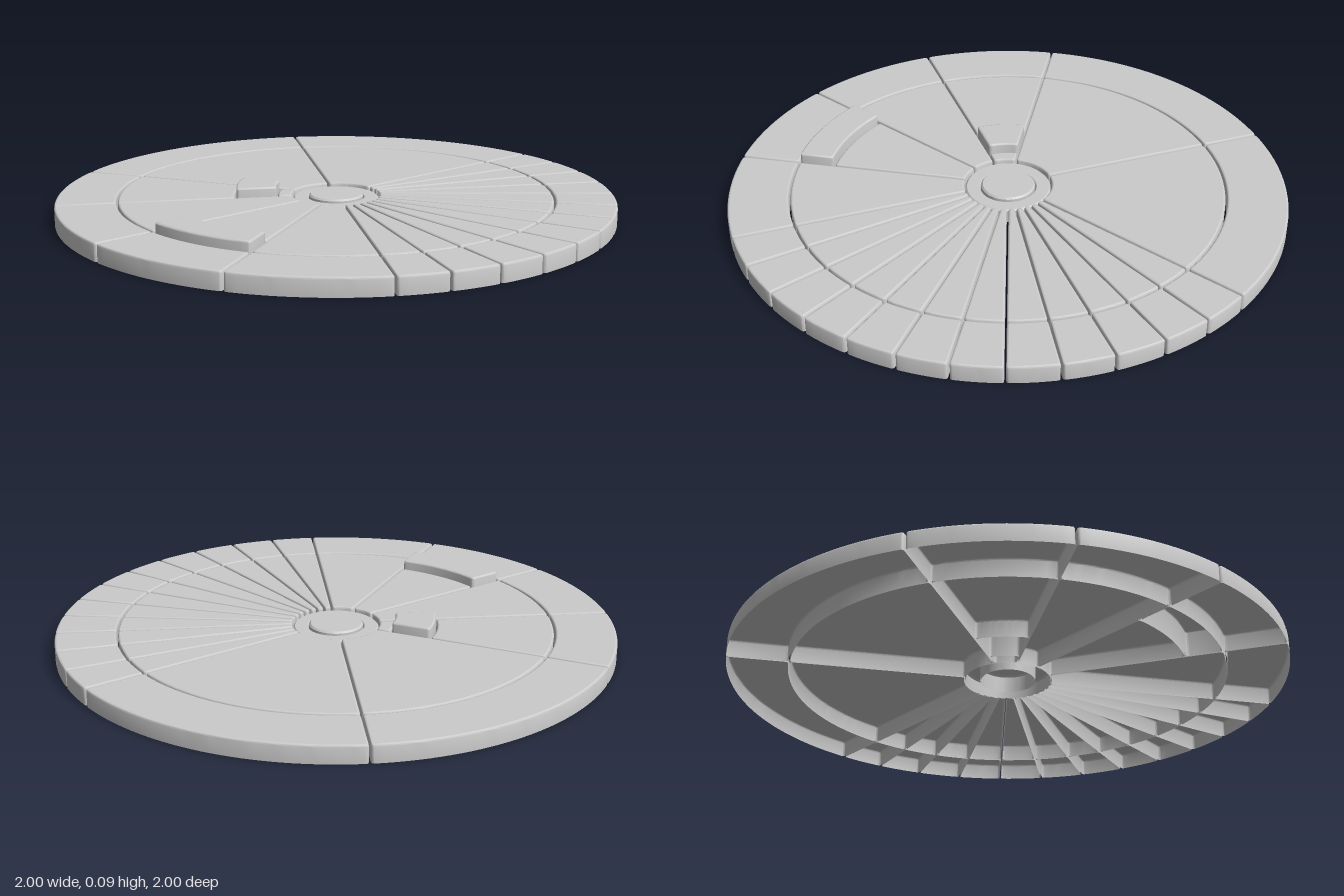
import * as THREE from 'three';
import { mergeGeometries, toCreasedNormals } from 'three/addons/utils/BufferGeometryUtils.js';

const GAP = 0.003, BEVEL = 0.007, CORNER = 0.01;
const TOP = 0.063, RAISED = 0.095;
const HUB = 0.155, SPLIT = 0.782, RIM = 1 + GAP;
const rad = THREE.MathUtils.degToRad;

// Point at radius r, angle a measured clockwise from the back (x, z).
const polar = (r, a) => new THREE.Vector2(r * Math.sin(a), -r * Math.cos(a));

// Outline of a ring sector, inset by d, with rounded corners of size c.
function outline(r0, r1, a0, a1, d, c) {
  const ri = r0 + d, ro = r1 - d;
  const steps = Math.max(4, Math.round((a1 - a0) / rad(2)));
  const pts = [];
  const corner = (from, at, to) => {
    for (let i = 0; i <= 3; i++) {
      const t = i / 3, s = 1 - t;
      pts.push(new THREE.Vector2(
        s * s * from.x + 2 * s * t * at.x + t * t * to.x,
        s * s * from.y + 2 * s * t * at.y + t * t * to.y));
    }
  };
  const left = r => a0 + Math.asin(d / r), right = r => a1 - Math.asin(d / r);
  const arc = (r, from, to) => {
    for (let i = 1; i < steps; i++) pts.push(polar(r, from + (to - from) * i / steps));
  };
  const lo = left(ro), ho = right(ro), li = left(ri), hi = right(ri);
  const co = c / ro, ci = Math.min(c / ri, (hi - li) * 0.4);
  corner(polar(ro - c, left(ro - c)), polar(ro, lo), polar(ro, lo + co));
  arc(ro, lo + co, ho - co);
  corner(polar(ro, ho - co), polar(ro, ho), polar(ro - c, right(ro - c)));
  corner(polar(ri + c, right(ri + c)), polar(ri, hi), polar(ri, hi - ci));
  arc(ri, hi - ci, li + ci);
  corner(polar(ri, li + ci), polar(ri, li), polar(ri + c, left(ri + c)));
  return pts;
}

// Hollow tile, open below, with a rounded top edge.
function tileGeometry(r0, r1, deg0, deg1, h) {
  const a0 = rad(deg0), a1 = rad(deg1);
  const loops = [{ y: 0, inset: 0 }];
  for (let i = 0; i <= 3; i++) {
    const t = i * Math.PI / 6;
    loops.push({ y: h - BEVEL + BEVEL * Math.sin(t), inset: BEVEL * (1 - Math.cos(t)) });
  }
  for (const l of loops) l.pts = outline(r0, r1, a0, a1, GAP + l.inset, CORNER - l.inset);

  const wall = [];
  for (let k = 0; k < loops.length - 1; k++) {
    const A = loops[k], B = loops[k + 1], n = A.pts.length;
    for (let i = 0; i < n; i++) {
      const j = (i + 1) % n;
      const a = [A.pts[i].x, A.y, A.pts[i].y], b = [A.pts[j].x, A.y, A.pts[j].y];
      const c = [B.pts[j].x, B.y, B.pts[j].y], d = [B.pts[i].x, B.y, B.pts[i].y];
      wall.push(...a, ...d, ...c, ...a, ...c, ...b);
    }
  }
  const sides = new THREE.BufferGeometry();
  sides.setAttribute('position', new THREE.Float32BufferAttribute(wall, 3));

  const last = loops[loops.length - 1].pts, cap = [];
  for (const [i, j, k] of THREE.ShapeUtils.triangulateShape(last, [])) {
    const a = last[i], b = last[j], c = last[k];
    const up = (b.y - a.y) * (c.x - a.x) - (b.x - a.x) * (c.y - a.y) > 0;
    for (const p of up ? [a, b, c] : [a, c, b]) cap.push(p.x, h, p.y);
  }
  const top = new THREE.BufferGeometry();
  top.setAttribute('position', new THREE.Float32BufferAttribute(cap, 3));
  top.computeVertexNormals();
  return mergeGeometries([toCreasedNormals(sides, 0.6), top]);
}

export function createModel() {
  const model = new THREE.Group();
  model.name = 'segmentedDisc';
  const material = new THREE.MeshStandardMaterial({ color: 0xcccccc, side: THREE.DoubleSide });
  const add = (name, geometry) => {
    const mesh = new THREE.Mesh(geometry, material);
    mesh.name = name;
    model.add(mesh);
  };
  const tile = (name, r0, r1, a0, a1, h = TOP) => add(name, tileGeometry(r0, r1, a0, a1, h));
  const turned = (name, profile) => add(name, toCreasedNormals(
    new THREE.LatheGeometry(profile.map(p => new THREE.Vector2(...p)), 72), 0.6));

  // Twelve narrow sectors, then the wide ones
  const angles = [];
  for (let a = 0; a <= 120; a += 10) angles.push(a);
  angles.push(150, 180, 210, 240, 300, 360);

  for (let i = 0; i < angles.length - 1; i++) {
    const a = angles[i], b = angles[i + 1];
    tile('rimTile', SPLIT, RIM, a, b);
    if (a === 150) {
      // Sector with a raised outer block
      tile('innerTile', HUB, 0.65, a, b);
      tile('raisedOuterBlock', 0.65, SPLIT, a, b, RAISED);
    } else if (a === 210) {
      // Sector with a raised block near the hub
      tile('hubTile', HUB, 0.212, a, b);
      tile('raisedInnerBlock', 0.212, 0.362, a, b, RAISED);
      tile('innerTile', 0.362, SPLIT, a, b);
    } else {
      tile('innerTile', HUB, SPLIT, a, b);
    }
  }

  // Slightly sunken hub ring and its centre cap
  turned('hubRing', [[0.154, 0], [0.154, 0.046], [0.148, 0.052], [0.104, 0.052], [0.1, 0.048], [0.1, 0]]);
  turned('hubCap', [[0.097, 0], [0.097, 0.057], [0.091, TOP], [0, TOP]]);
  return model;
}
